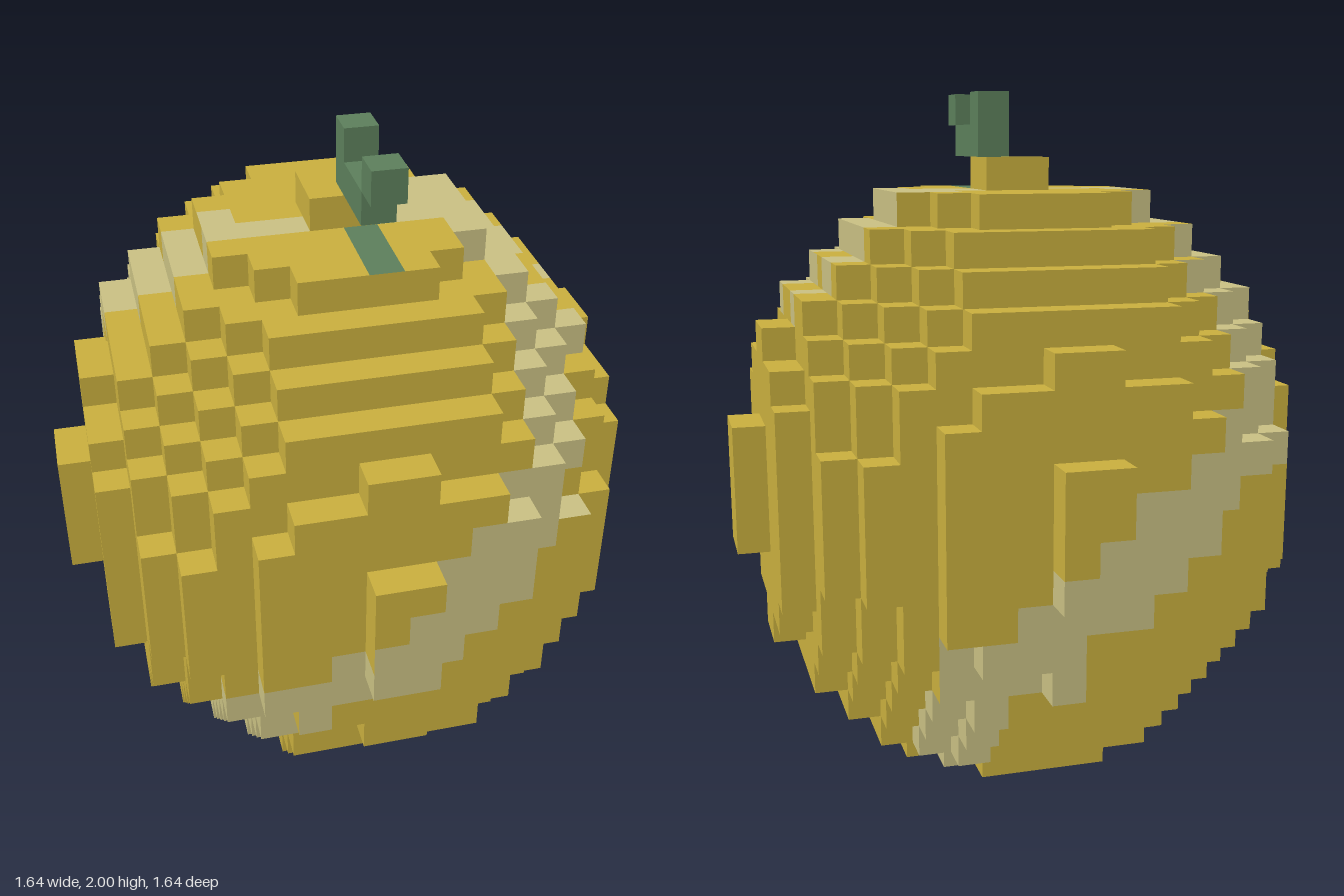
import * as THREE from 'three';

const S = 2 / 22; // voxel size

// Stripe painting on each side: [line, first cell, last cell]
const FRONT = [[1, -4, -4], [2, -5, -4], [3, -5, -4], [4, -5, -4], [5, -5, -3], [6, -5, -3], [7, -4, -1], [8, -2, 1], [9, -1, 2],
  [10, 0, 3], [11, 1, 4], [12, 2, 4], [13, 3, 5], [14, 4, 5], [15, 4, 6], [16, 4, 5], [17, 4, 4], [18, 3, 3]];
const BACK = [[0, 0, 0], [1, 2, 2], [2, 2, 3], [3, 2, 3], [4, 2, 3], [5, 0, 3], [6, 0, 3], [7, -2, 1], [8, -3, 0], [9, -4, -1],
  [10, -5, -2], [11, -7, -4], [12, -7, -5], [13, -7, -6], [14, -7, -6], [15, -7, -6], [16, -6, -5], [17, -5, -5], [18, -4, -4]];
const RIGHT = [[0, -1, -1], [1, -3, -3], [2, -5, -4], [3, -6, -5], [4, -7, -6], [5, -8, -8], [6, -8, -8], [8, -9, -9], [8, 8, 8],
  [9, 8, 8], [10, 7, 7], [11, 7, 7], [12, 6, 7], [13, 5, 6], [14, 4, 5], [15, 2, 4], [15, -1, -1], [16, 1, 3], [16, -2, -1],
  [17, -2, 2], [18, -2, 1]];
const LEFT = [[0, 0, 0], [1, 1, 2], [2, 2, 3], [3, 3, 4], [4, 4, 5], [5, 5, 6], [6, 6, 6], [7, 7, 7], [8, 8, 8], [8, -9, -9],
  [9, -9, -8], [10, -8, -8], [11, -7, -6], [12, -7, -6], [13, -6, -5], [14, -5, -4], [15, -4, -2], [16, -3, -1], [17, -2, 0], [18, 0, 0]];
const TOP = [[-7, -6, -6], [-6, -7, -6], [-5, -7, -6], [-4, -7, -6], [-3, -7, -6], [-2, -7, -5], [-1, -6, -4], [0, -5, -2],
  [-2, 2, 5], [-1, 1, 6], [0, 1, 4], [1, 3, 4], [2, 4, 6], [3, 4, 5], [4, 4, 5], [5, 4, 5], [6, 4, 5], [7, 3, 3]];

const has = (table, line, cell) => table.some(([l, a, b]) => l === line && cell >= a && cell <= b);

// Solid test for the voxel ellipsoid
const solid = (i, j, k) =>
  ((i + 0.5) / 9) ** 2 + ((j - 9.5) / 10) ** 2 + ((k + 0.5) / 9) ** 2 < 0.92;

// Which paint covers one exposed voxel face
function paintOf(i, j, k, axis, sign) {
  let pale;
  if (axis === 0) pale = has(sign > 0 ? RIGHT : LEFT, j, k);
  else if (axis === 2) pale = has(sign > 0 ? FRONT : BACK, j, i);
  else if (sign > 0) {
    if (j === 18 && i === 0 && k >= 1 && k <= 3) return 'stemMark';
    pale = has(TOP, k, i) && j < 19;
  } else pale = has(k >= 0 ? FRONT : BACK, j, i);
  return pale ? 'stripe' : 'skin';
}

// Adds one square face, wound to face outward
function addFace(list, cell, axis, sign) {
  const u = (axis + 1) % 3, v = (axis + 2) % 3;
  const corners = [[0, 0], [1, 0], [1, 1], [0, 1]].map(([a, b]) => {
    const p = [...cell];
    p[axis] += sign > 0 ? 1 : 0;
    p[u] += a;
    p[v] += b;
    return p.map((n) => n * S);
  });
  const order = sign > 0 ? [0, 1, 2, 0, 2, 3] : [0, 2, 1, 0, 3, 2];
  for (const n of order) list.push(...corners[n]);
}

export function createModel() {
  const model = new THREE.Group();
  model.name = 'stripedRoundFruit';
  const material = (name, color) => {
    const m = new THREE.MeshStandardMaterial({ color });
    m.name = name;
    return m;
  };
  const green = material('stem green', 0x5c7f5b);
  const paints = {
    skin: material('ochre skin', 0xc9af3e),
    stripe: material('pale stripe', 0xc9c083),
    stemMark: green,
  };

  // Body: exposed voxel faces sorted by paint
  const faces = { skin: [], stripe: [], stemMark: [] };
  for (let i = -9; i < 9; i++)
    for (let j = 0; j < 20; j++)
      for (let k = -9; k < 9; k++) {
        if (!solid(i, j, k)) continue;
        for (let axis = 0; axis < 3; axis++)
          for (const sign of [-1, 1]) {
            const next = [i, j, k];
            next[axis] += sign;
            if (!solid(...next)) addFace(faces[paintOf(i, j, k, axis, sign)], [i, j, k], axis, sign);
          }
      }
  const body = new THREE.Group();
  body.name = 'body';
  for (const [name, list] of Object.entries(faces)) {
    const geometry = new THREE.BufferGeometry();
    geometry.setAttribute('position', new THREE.Float32BufferAttribute(list, 3));
    geometry.computeVertexNormals();
    const mesh = new THREE.Mesh(geometry, paints[name]);
    mesh.name = name;
    body.add(mesh);
  }
  model.add(body);

  // Crooked stem: upright, arm and raised tip
  const stem = new THREE.Group();
  stem.name = 'stem';
  const parts = [['stemUpright', 20, 0, 2, 1], ['stemArm', 20, 1, 1, 2], ['stemTip', 21, 3, 1, 1]];
  for (const [name, j, k, height, depth] of parts) {
    const mesh = new THREE.Mesh(new THREE.BoxGeometry(S, height * S, depth * S), green);
    mesh.position.set(S / 2, (j + height / 2) * S, (k + depth / 2) * S);
    mesh.name = name;
    stem.add(mesh);
  }
  model.add(stem);
  return model;
}
